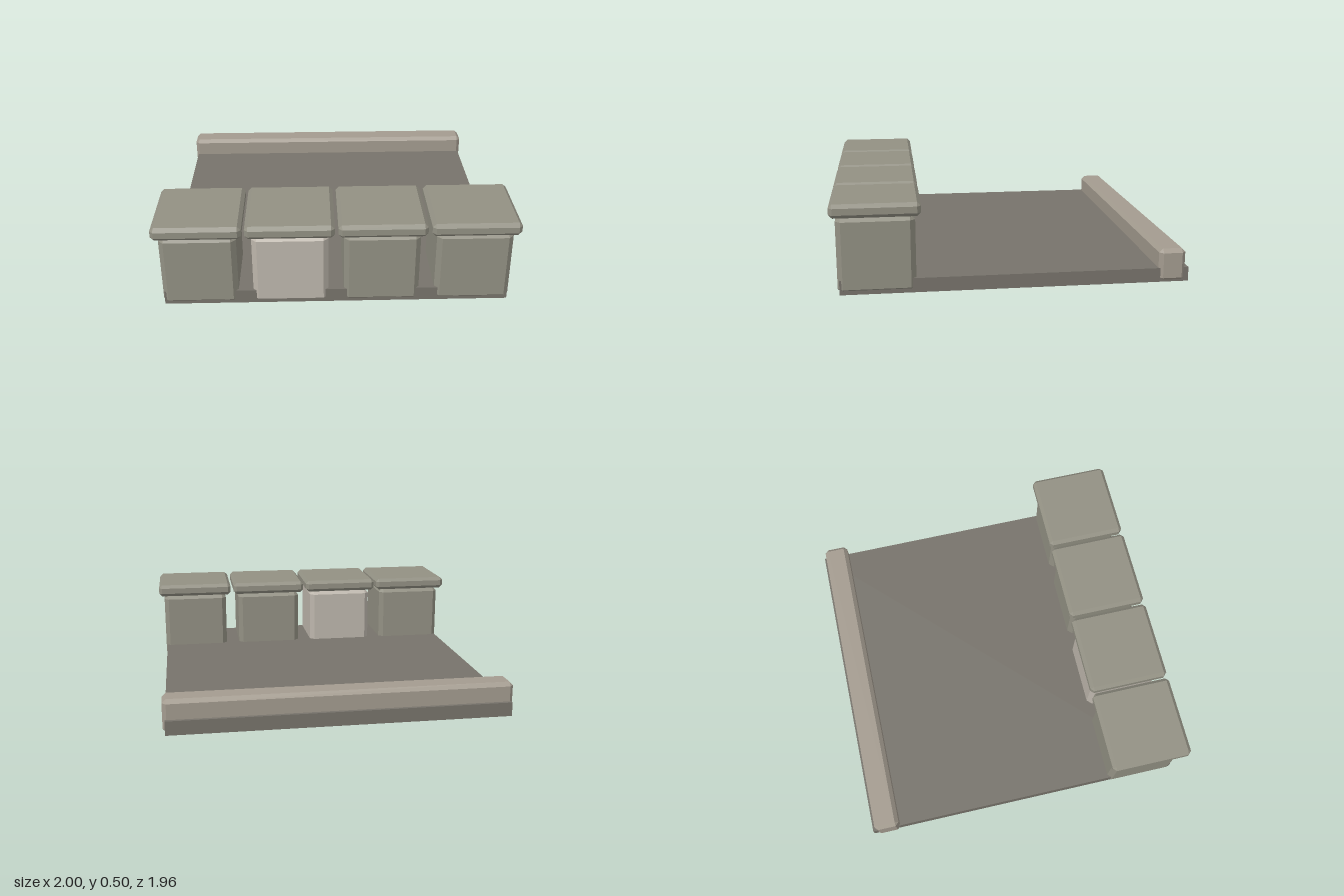
import * as THREE from 'three';
import { ConvexGeometry } from 'three/addons/geometries/ConvexGeometry.js';

const material = (color) => new THREE.MeshStandardMaterial({ color, flatShading: true });

// Box with every edge cut by a single flat chamfer c
function chamferBox(w, h, d, c) {
  const points = [];
  for (const x of [-1, 1]) for (const y of [-1, 1]) for (const z of [-1, 1]) {
    for (let axis = 0; axis < 3; axis++) {
      const cut = [c, c, c];
      cut[axis] = 0;
      points.push(new THREE.Vector3(x * (w / 2 - cut[0]), y * (h / 2 - cut[1]), z * (d / 2 - cut[2])));
    }
  }
  return new ConvexGeometry(points);
}

export function createModel() {
  const model = new THREE.Group();
  const add = (name, geometry, mat, x, y, z, parent = model) => {
    const mesh = new THREE.Mesh(geometry, mat);
    mesh.name = name;
    mesh.position.set(x, y, z);
    parent.add(mesh);
  };

  const floorMat = material(0x77736b);
  const stoneMat = material(0x929083);
  const paleMat = material(0xbdb6ac);
  const railMat = material(0xa39b8f);

  // Flat floor slab
  add('floorSlab', new THREE.BoxGeometry(1.92, 0.08, 1.92), floorMat, 0, 0.04, -0.02);

  // Low curb along the back
  add('backCurb', chamferBox(1.945, 0.188, 0.15, 0.022), railMat, 0, 0.096, -0.885);

  // Row of four capped blocks along the front, the second one paler
  const bodyGeometry = chamferBox(0.42, 0.428, 0.42, 0.028);
  const capGeometry = chamferBox(0.486, 0.076, 0.48, 0.02);
  [-0.757, -0.255, 0.25, 0.757].forEach((x, i) => {
    const block = new THREE.Group();
    block.name = 'cappedBlock' + (i + 1);
    block.position.set(x, 0, 0.74);
    add('blockBody', bodyGeometry, i === 1 ? paleMat : stoneMat, 0, 0.216, 0, block);
    add('blockCap', capGeometry, stoneMat, 0, 0.467, 0, block);
    model.add(block);
  });

  return model;
}
